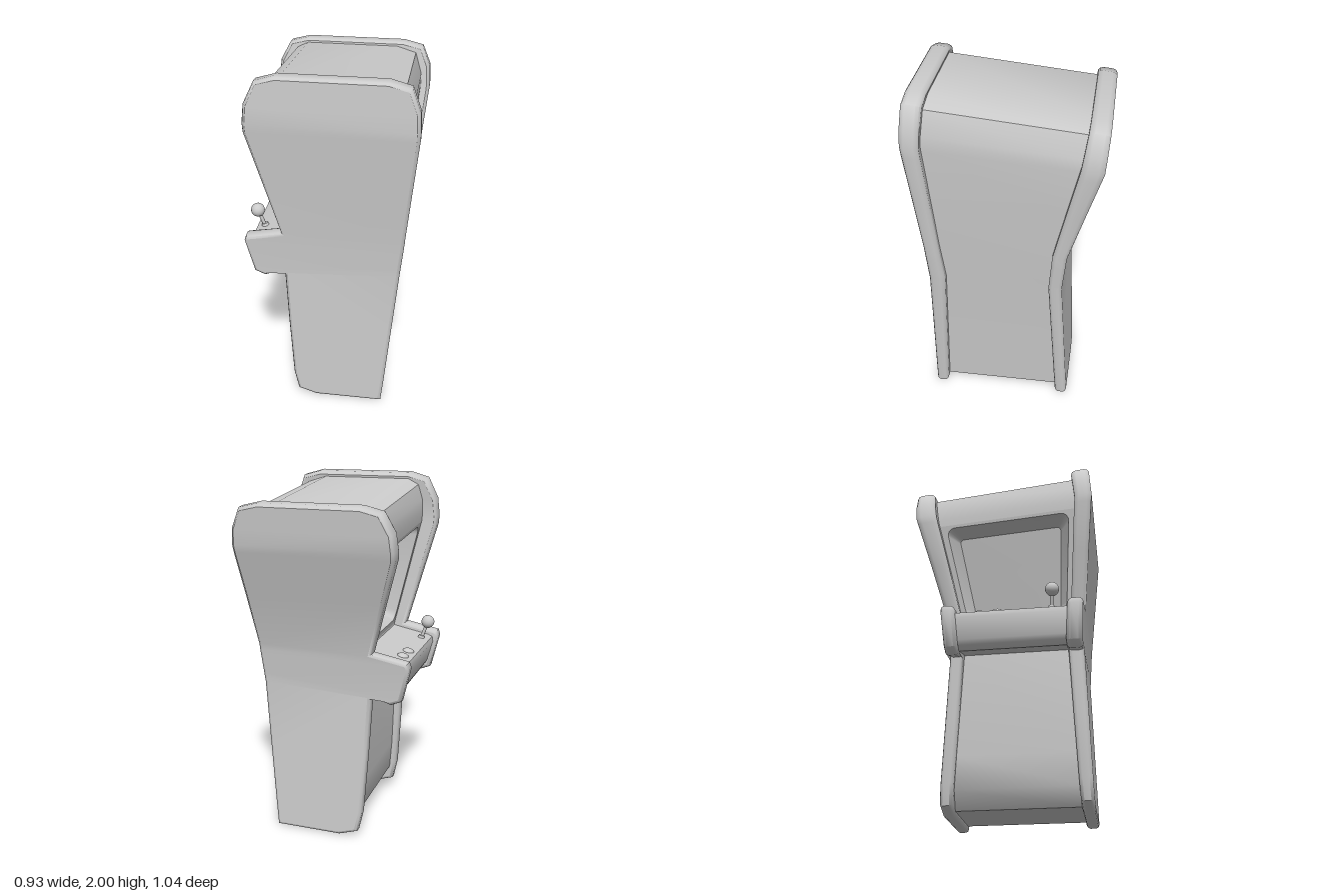
import * as THREE from 'three';
import { toCreasedNormals } from 'three/addons/utils/BufferGeometryUtils.js';

const material = new THREE.MeshStandardMaterial({ color: 0xcccccc });
const lerp = THREE.MathUtils.lerp;

// Bend of the two side panels: [y, inner z, outer z]
const BEND = {
  1: [[0, 0.383, 0.453], [0.87, 0.346, 0.434], [1.1, 0.368, 0.45], [1.75, 0.42, 0.518], [2, 0.398, 0.504]],
  '-1': [[0, -0.288, -0.358], [0.87, -0.236, -0.31], [1.1, -0.254, -0.333], [1.75, -0.385, -0.503], [2, -0.418, -0.521]],
};

// z on one panel at height y; q = 0 is its inner face, q = 1 its outer face
function panelZ(side, y, q) {
  const keys = BEND[side];
  let i = 0;
  while (i < keys.length - 2 && y > keys[i + 1][0]) i++;
  const [a, b] = [keys[i], keys[i + 1]];
  const f = (y - a[0]) / (b[0] - a[0]);
  return lerp(lerp(a[1], b[1], f), lerp(a[2], b[2], f), q);
}

// The upper half tilts down toward the -z side
function tilt(x, y, z) {
  const drop = 0.1 * Math.max(0, (y - 1.1) / 0.9) * (0.5 - z);
  return new THREE.Vector3(x, y - drop, z);
}

// Point between the panels, s from -1 to 1
const between = (x, y, s) => tilt(x, y, lerp(panelZ(-1, y, 0), panelZ(1, y, 0), (s + 1) / 2));

// Smooth-shaded geometry from a list of triangles
function fromTriangles(triangles, crease) {
  const g = new THREE.BufferGeometry().setFromPoints(triangles.flat());
  return toCreasedNormals(g, crease);
}

// Skin over rings of points
function skin(rings, closed, crease = 0.7) {
  const triangles = [];
  for (let k = 0; k < rings.length - 1; k++) {
    const [r, s] = [rings[k], rings[k + 1]];
    const n = r.length;
    for (let i = 0; i < (closed ? n : n - 1); i++) {
      const j = (i + 1) % n;
      triangles.push([r[i], r[j], s[j]], [r[i], s[j], s[i]]);
    }
  }
  return fromTriangles(triangles, crease);
}

// Move each point of a counterclockwise loop inward
function inset(loop, d) {
  const n = loop.length;
  const normal = (a, b) => new THREE.Vector2(a[1] - b[1], b[0] - a[0]).normalize();
  return loop.map((p, i) => {
    const a = normal(loop[(i + n - 1) % n], p);
    const b = normal(p, loop[(i + 1) % n]);
    const k = d / (1 + a.dot(b));
    return [p[0] + (a.x + b.x) * k, p[1] + (a.y + b.y) * k];
  });
}

// Side outline: player edge and rear edge, paired from bottom to top
const FRONT_EDGE = [[-0.08, 0], [-0.187, 0.035], [-0.212, 0.15], [-0.233, 0.5], [-0.25, 0.85],
  [-0.36, 0.812], [-0.42, 0.837], [-0.466, 1.03], [-0.455, 1.063], [-0.26, 1.1], [-0.345, 1.42],
  [-0.42, 1.7], [-0.422, 1.75], [-0.412, 1.85], [-0.355, 1.97], [-0.25, 2]];
const REAR_EDGE = [[0.302, 0], [0.306, 0.04], [0.317, 0.15], [0.349, 0.5], [0.383, 0.87],
  [0.386, 0.9], [0.388, 0.92], [0.399, 1.03], [0.402, 1.06], [0.405, 1.1], [0.435, 1.42],
  [0.462, 1.7], [0.464, 1.75], [0.458, 1.85], [0.413, 1.97], [0.302, 2]];
const ROUNDING = [[0.018, 0], [0.006, 0.08], [0, 0.25], [0, 0.75], [0.006, 0.92], [0.018, 1]];

// Rounded rim and the two broad faces of a side panel
function sidePanel(side) {
  const loop = [...REAR_EDGE, ...[...FRONT_EDGE].reverse()];
  const rings = ROUNDING.map(([d, q]) =>
    inset(loop, d).map(([x, y]) => tilt(x, y, panelZ(side, y, q))));
  if (side < 0) rings.reverse();
  const [back, face] = [rings[0], rings[rings.length - 1]];
  const faces = [];
  const m = loop.length - 1;
  for (let i = 0; i < REAR_EDGE.length - 1; i++) {
    const [a, b, c, d] = [i, i + 1, m - i - 1, m - i];
    faces.push([face[a], face[b], face[c]], [face[a], face[c], face[d]]);
    faces.push([back[c], back[b], back[a]], [back[d], back[c], back[a]]);
  }
  return { rim: skin(rings, true, 0.95), faces: fromTriangles(faces, 0.6) };
}

// Cabinet wall between the panels, open where the screen sits
const FACE_LOW = [-0.19, 1.09];
const FACE_TOP = [-0.332, 1.72];
const BODY = [FACE_LOW, [-0.21, 0.87], [-0.187, 0.3], [-0.172, 0.12], [-0.1, 0.025], [0.255, 0.025],
  [0.295, 0.45], [0.335, 0.87], [0.362, 1.1], [0.387, 1.42], [0.412, 1.72], [0.412, 1.8], [0.375, 1.935],
  [0.265, 1.97], [-0.25, 1.97], [-0.31, 1.938], [-0.335, 1.85], [-0.336, 1.77], FACE_TOP];

const strip = (profile, s0, s1) =>
  skin([s0, s1].map((s) => profile.map(([x, y]) => between(x, y, s))), false);

// Rounded rectangle on the sloping screen face, pushed in by a depth at its foot and head
function faceRing(w, t0, t1, r, footDepth, headDepth) {
  const pts = [];
  const corners = [[1, 0, -90], [1, 1, 0], [-1, 1, 90], [-1, 0, 180]];
  for (const [sx, top, start] of corners) {
    for (let k = 0; k <= 4; k++) {
      const a = THREE.MathUtils.degToRad(start + k * 22.5);
      const s = sx * (w - r) + r * Math.cos(a);
      const t = (top ? t1 - r * 0.7 : t0 + r * 0.7) + r * 0.7 * Math.sin(a);
      const depth = lerp(footDepth, headDepth, t);
      pts.push(between(lerp(FACE_LOW[0], FACE_TOP[0], t) + depth * 0.97,
        lerp(FACE_LOW[1], FACE_TOP[1], t) + depth * 0.23, s));
    }
  }
  return pts;
}

// Control deck profile
const DECK = [[-0.17, 1.085], [-0.405, 1.04], [-0.43, 1.03], [-0.436, 1.0], [-0.405, 0.88],
  [-0.39, 0.855], [-0.355, 0.835], [-0.24, 0.87], [-0.15, 0.88]];

export function createModel() {
  const model = new THREE.Group();
  const part = (name, geometry, x = 0, y = 0, z = 0) => {
    const mesh = new THREE.Mesh(geometry, material);
    mesh.name = name;
    mesh.position.set(x, y, z);
    model.add(mesh);
    return mesh;
  };

  // Side panels
  for (const side of [1, -1]) {
    const { rim, faces } = sidePanel(side);
    const name = side > 0 ? 'frontPanel' : 'backPanel';
    part(`${name}Rim`, rim);
    part(`${name}Faces`, faces);
  }
  part('cabinetBody', strip(BODY, -1.08, 1.08));

  // Screen surround and screen
  const screenRing = faceRing(0.77, 0.11, 0.9, 0.06, 0.13, 0.1);
  part('screenBezel', skin([
    faceRing(1.08, 0, 1, 0, 0, 0),
    faceRing(0.91, 0.05, 0.97, 0.12, 0, 0),
    faceRing(0.89, 0.065, 0.96, 0.11, 0.02, 0.02),
    screenRing,
  ], true));
  const middle = screenRing.reduce((sum, p) => sum.add(p), new THREE.Vector3())
    .divideScalar(screenRing.length);
  part('screen', skin([screenRing, screenRing.map(() => middle)], true));

  // Control deck with two buttons and a joystick
  part('controlDeck', strip(DECK, -1.06, 1.06));
  for (const [x, z] of [[-0.378, -0.125], [-0.383, -0.025]]) {
    const button = part('button', new THREE.SphereGeometry(0.032, 20, 8, 0, Math.PI * 2, 0, Math.PI / 2), x, 1.044, z);
    button.scale.y = 0.5;
    button.rotation.z = 0.19;
  }
  const foot = new THREE.Vector3(-0.385, 1.04, 0.272);
  const knob = new THREE.Vector3(-0.42, 1.142, 0.28);
  part('joystickBase', new THREE.CylinderGeometry(0.016, 0.021, 0.016, 16), foot.x, 1.05, foot.z).rotation.z = 0.19;
  part('joystickShaft', new THREE.TubeGeometry(new THREE.LineCurve3(foot, knob), 1, 0.01, 10));
  part('joystickKnob', new THREE.SphereGeometry(0.038, 24, 16), knob.x, knob.y, knob.z);

  return model;
}
